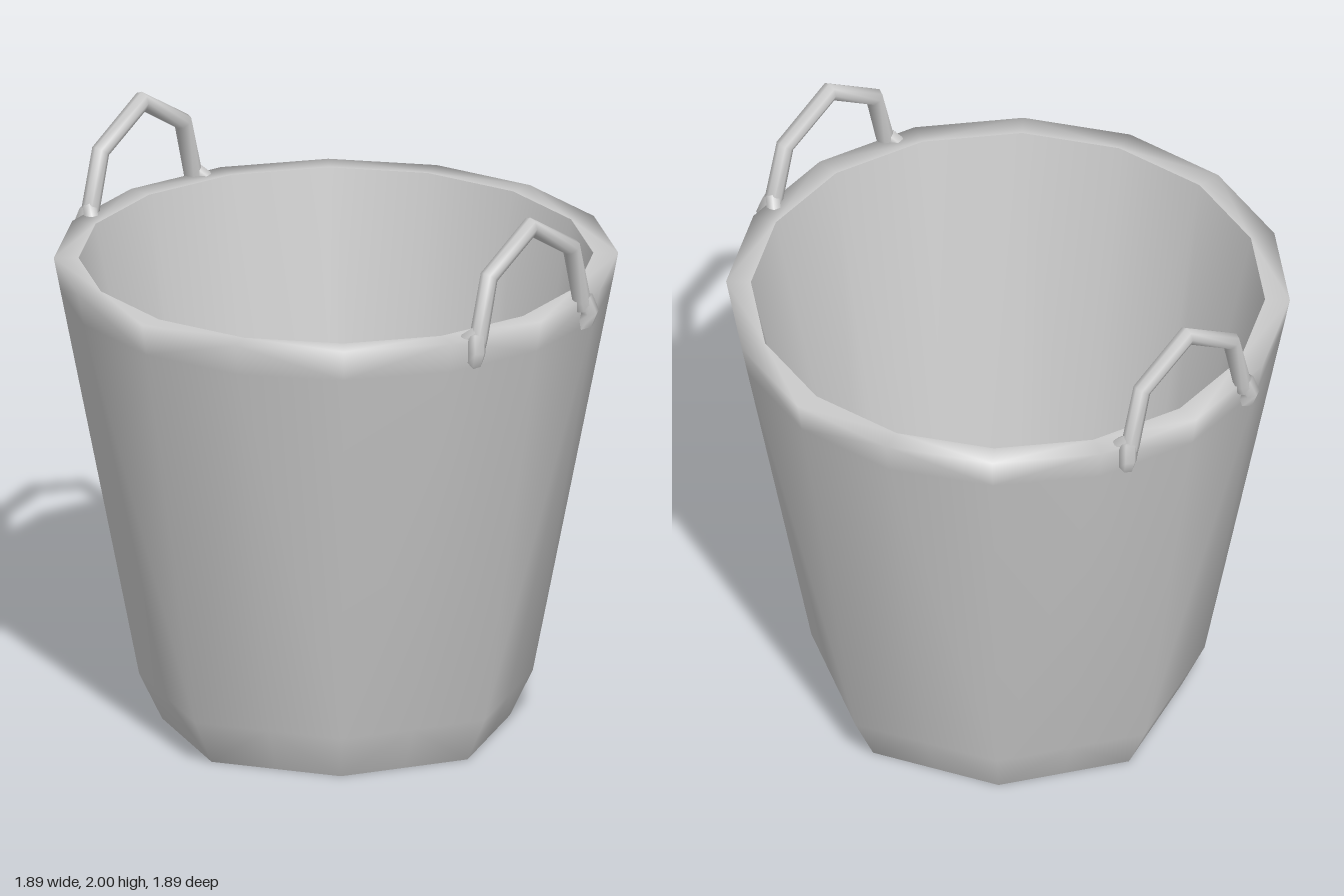
import * as THREE from 'three';

const material = new THREE.MeshStandardMaterial({ color: 0xcccccc, side: THREE.DoubleSide });
const SIDES = 16;

// Point j of a ring: 16-sided at the rim, 8-sided (with edge midpoints) near the base
function ringPoint(r, y, j) {
  const corner = (k) => {
    const a = (k / SIDES) * Math.PI * 2;
    const s = y < 0.5 && k % 4 ? r * 0.96 : r;
    return new THREE.Vector3(s * Math.sin(a), y, s * Math.cos(a));
  };
  if (y < 0.5 && j % 2) return corner(j - 1).lerp(corner(j + 1), 0.5);
  return corner(j);
}

// Skin over a profile of [radius, height] rings, smooth within one call
function loft(name, profile) {
  const pos = [], index = [];
  for (const [r, y] of profile) {
    for (let j = 0; j < SIDES; j++) pos.push(...ringPoint(r, y, j).toArray());
  }
  for (let i = 0; i < profile.length - 1; i++) {
    for (let j = 0; j < SIDES; j++) {
      const n = (j + 1) % SIDES;
      const a = i * SIDES + j, b = i * SIDES + n, c = b + SIDES, d = a + SIDES;
      // alternate the diagonal so the base corners fan out to the rim
      if (j % 2) index.push(a, b, d, b, c, d);
      else index.push(a, b, c, a, c, d);
    }
  }
  const geo = new THREE.BufferGeometry();
  geo.setAttribute('position', new THREE.Float32BufferAttribute(pos, 3));
  geo.setIndex(index);
  geo.computeVertexNormals();
  const mesh = new THREE.Mesh(geo, material);
  mesh.name = name;
  return mesh;
}

// Straight-segment path, one tube ring per point
class Polyline extends THREE.Curve {
  constructor(points) {
    super();
    this.points = points;
  }
  getPoint(t, target = new THREE.Vector3()) {
    const f = t * (this.points.length - 1);
    const i = Math.min(Math.floor(f), this.points.length - 2);
    return target.lerpVectors(this.points[i], this.points[i + 1], f - i);
  }
  getPointAt(u, target) { return this.getPoint(u, target); }
  getTangentAt(u, target) { return this.getTangent(u, target); }
}

// Tube through [x, y, z, radius] points
function rod(name, list, sides = 8) {
  const pts = list.map((p) => new THREE.Vector3(p[0], p[1], p[2]));
  const geo = new THREE.TubeGeometry(new Polyline(pts), pts.length - 1, 1, sides, false);
  const pos = geo.attributes.position, v = new THREE.Vector3();
  for (let k = 0; k < pos.count; k++) {
    const i = Math.floor(k / (sides + 1));
    v.fromBufferAttribute(pos, k).sub(pts[i]).multiplyScalar(list[i][3]).add(pts[i]);
    pos.setXYZ(k, v.x, v.y, v.z);
  }
  const mesh = new THREE.Mesh(geo, material);
  mesh.name = name;
  return mesh;
}

function createHandle(name) {
  const handle = new THREE.Group();
  handle.name = name;
  const z = 0.893, r = 0.031;
  // angular bail
  handle.add(rod('bail', [
    [-0.26, 1.61, z, r], [-0.25, 1.64, z, r], [-0.2, 1.84, z, r], [0, 1.965, z, 0.033],
    [0.2, 1.84, z, r], [0.25, 1.64, z, r], [0.26, 1.61, z, r],
  ]));
  // hooks gripping the rim on both sides
  for (const s of [-1, 1]) {
    handle.add(rod('outerHook', [
      [s * 0.255, 1.66, z, 0], [s * 0.26, 1.645, z, 0.032], [s * 0.275, 1.595, 0.908, 0.031],
      [s * 0.27, 1.555, 0.895, 0.026], [s * 0.262, 1.525, 0.878, 0],
    ], 6));
    handle.add(rod('innerHook', [
      [s * 0.255, 1.655, z, 0.026], [s * 0.275, 1.63, 0.865, 0.027], [s * 0.285, 1.58, 0.835, 0],
    ], 6));
  }
  return handle;
}

export function createModel() {
  const model = new THREE.Group();
  model.name = 'bucket';

  model.add(loft('outerWall', [[0.605, 0], [0.685, 0.16], [0.922, 1.53], [0.943, 1.64], [0.86, 1.64]]));
  model.add(loft('innerWall', [[0.86, 1.64], [0.592, 0.1]]));
  model.add(loft('floor', [[0.592, 0.1], [0, 0.1]]));

  // recessed underside with its foot ring
  model.add(loft('underside', [[0, 0.065], [0.585, 0.065]]));
  model.add(loft('footRing', [[0.585, 0.065], [0.59, 0], [0.605, 0]]));

  const front = createHandle('frontHandle');
  const back = createHandle('backHandle');
  back.rotation.y = Math.PI;
  model.add(front, back);
  return model;
}
